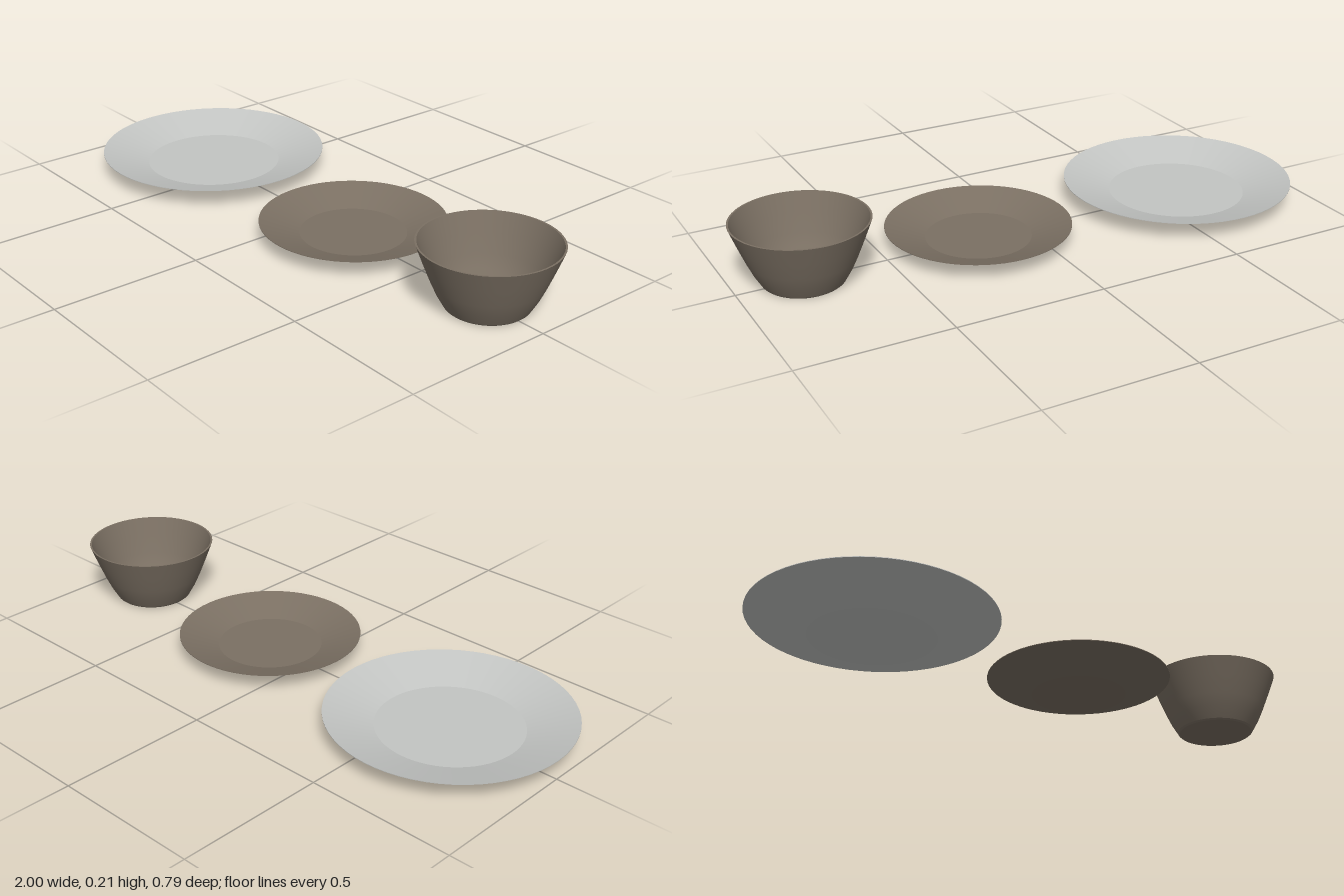
import * as THREE from 'three';

const porcelain = new THREE.MeshStandardMaterial({ color: 0xc3c5c3 });
porcelain.name = 'paleGrey';
const stoneware = new THREE.MeshStandardMaterial({ color: 0x7b7063 });
stoneware.name = 'warmBrown';

// Profiles run from the underside centre, up the outside, over the rim and down inside.
// Each section is a separate lathe, so edges between sections stay crisp.
function dish(name, x, material, sections) {
  const group = new THREE.Group();
  group.name = name;
  group.position.x = x;
  for (const [part, points] of Object.entries(sections)) {
    const profile = points.map(([r, y]) => new THREE.Vector2(r, y));
    const mesh = new THREE.Mesh(new THREE.LatheGeometry(profile, 64), material);
    mesh.name = part;
    group.add(mesh);
  }
  return group;
}

// Shallow plate: flat foot, flaring wall that tapers to a thin rim, flat well
function plate(name, x, material, foot, well, rim, wellHeight, height) {
  return dish(name, x, material, {
    underside: [[0, 0], [foot, 0]],
    outerWall: [[foot, 0], [rim, height - 0.002]],
    rimEdge: [[rim, height - 0.002], [rim, height]],
    innerWall: [[rim, height], [well, wellHeight]],
    well: [[well, wellHeight], [0, wellHeight]],
  });
}

export function createModel() {
  const model = new THREE.Group();
  model.name = 'tableware';

  model.add(plate('dinnerPlate', -0.605, porcelain, 0.2, 0.235, 0.395, 0.016, 0.065));
  model.add(plate('sidePlate', 0.175, stoneware, 0.157, 0.175, 0.307, 0.014, 0.059));

  // Deep bowl with a wall that steepens towards the rim
  model.add(dish('bowl', 0.78, stoneware, {
    underside: [[0, 0], [0.126, 0]],
    footEdge: [[0.126, 0], [0.132, 0.005]],
    outerWall: [[0.132, 0.005], [0.155, 0.045], [0.173, 0.085], [0.197, 0.145], [0.22, 0.206]],
    rimEdge: [[0.22, 0.206], [0.214, 0.206]],
    innerWall: [[0.214, 0.206], [0.19, 0.145], [0.166, 0.085], [0.146, 0.045], [0.12, 0.012], [0, 0.012]],
  }));

  return model;
}
